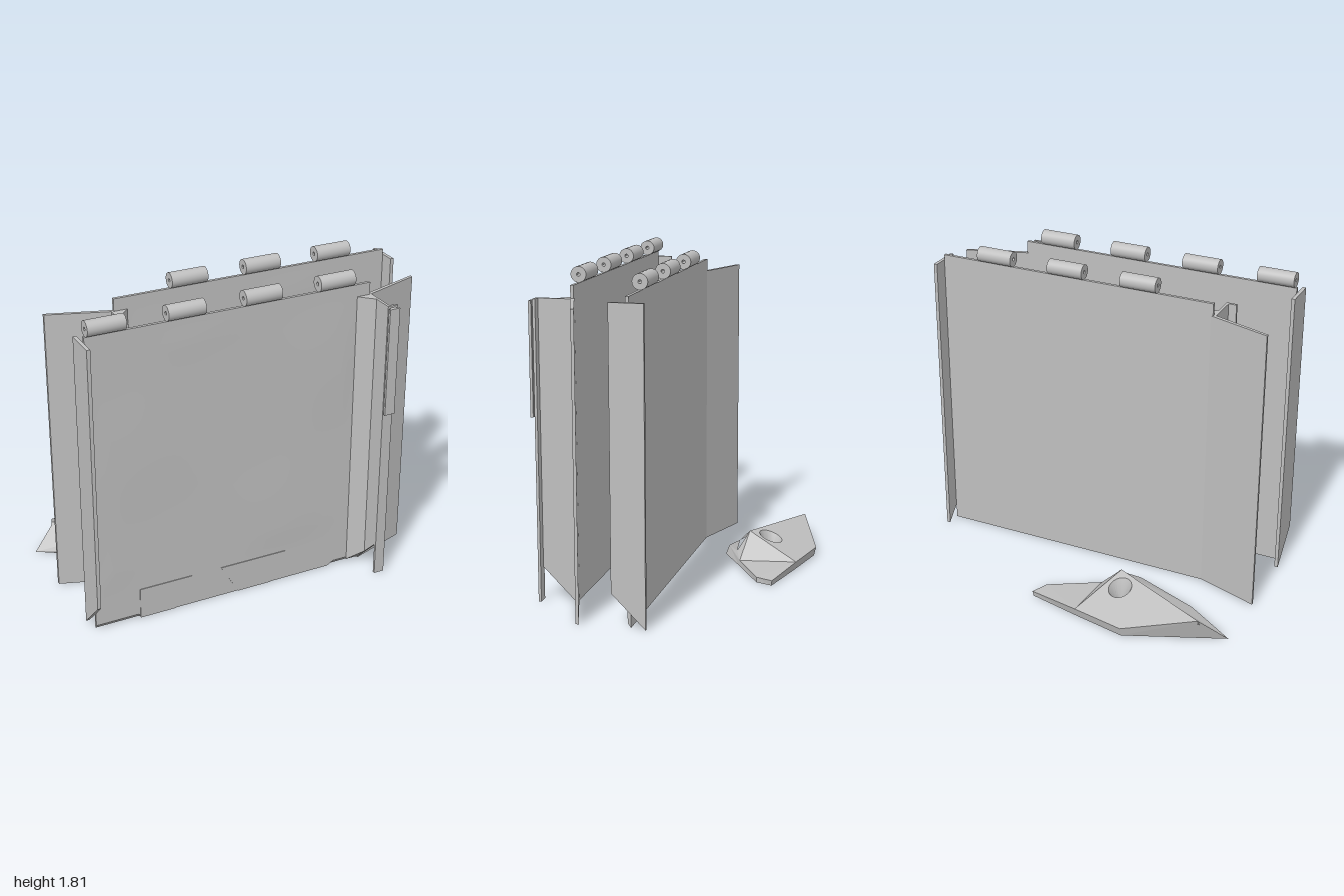
import * as THREE from 'three';
import { toCreasedNormals } from 'three/addons/utils/BufferGeometryUtils.js';

const grey = new THREE.MeshStandardMaterial({ color: 0xbfbfbf });
grey.name = 'plain grey';

function add(group, name, geometry) {
  const mesh = new THREE.Mesh(geometry, grey);
  mesh.name = name;
  group.add(mesh);
  return mesh;
}

const shapeOf = (pts) => new THREE.Shape(pts.map(([a, b]) => new THREE.Vector2(a, b)));

// Upright prism from an outline of [x, z] points
function prismY(pts, y0, y1) {
  const g = new THREE.ExtrudeGeometry(shapeOf(pts.map(([x, z]) => [x, -z])), { depth: y1 - y0, bevelEnabled: false });
  return g.rotateX(-Math.PI / 2).translate(0, y0, 0);
}

// Sideways plate from an outline of [z, y] points
function prismX(pts, x0, x1) {
  const g = new THREE.ExtrudeGeometry(shapeOf(pts), { depth: Math.abs(x1 - x0), bevelEnabled: false });
  return g.rotateY(-Math.PI / 2).translate(Math.max(x0, x1), 0, 0);
}

function box(x0, x1, y0, y1, z0, z1, nx = 1, ny = 1) {
  const g = new THREE.BoxGeometry(Math.abs(x1 - x0), y1 - y0, z1 - z0, nx, ny, 1);
  return g.translate((x0 + x1) / 2, (y0 + y1) / 2, (z0 + z1) / 2);
}

// Sheet with faint dents on the front and a trimmed lower edge at both ends
function sheetGeometry(s) {
  const g = box(-0.98 * s, 0.657 * s, 0, 1.72, -0.009, 0.009, 40, 30);
  const p = g.attributes.position;
  for (let i = 0; i < p.count; i++) {
    const x = p.getX(i) * s, y = p.getY(i);
    if (p.getZ(i) < 0) continue;
    if (y < 0.001 && (x < -0.72 || x > 0.47)) p.setY(i, 0.024);
    if (y > 0.25 && y < 1.62 && x > -0.9 && x < 0.55) {
      p.setZ(i, 0.009 + 0.004 * Math.max(0, Math.sin(x * 5 + y * 2) * Math.sin(y * 4 - x)));
    }
  }
  return toCreasedNormals(g, 0.5);
}

// Hinge barrel with a small bore, lying along x
function hingeGeometry() {
  const ring = new THREE.Shape().absarc(0, 0, 0.0425, 0, Math.PI * 2);
  ring.holes.push(new THREE.Path().absarc(0, 0, 0.01, 0, Math.PI * 2, true));
  const g = new THREE.ExtrudeGeometry(ring, { depth: 0.21, bevelEnabled: false, curveSegments: 16 });
  return toCreasedNormals(g.rotateY(Math.PI / 2).translate(-0.105, 1.763, 0), 0.6);
}

// One panel; s = -1 mirrors it across x
function createPanel(name, s, hinges) {
  const panel = new THREE.Group();
  panel.name = name;
  const mx = (pts) => pts.map(([x, z]) => [x * s, z]);

  add(panel, 'sheet', sheetGeometry(s));
  add(panel, 'endFlange', prismX([[-0.092, 1.69], [0.092, 1.69], [0.092, 0.185], [-0.092, 0]], -s, -0.98 * s));
  add(panel, 'wing', prismY(mx([[0.645, -0.009], [0.66, 0.009], [1, -0.107], [1, -0.125]]), 0, 1.65));

  // Bracket: web, foot and corner gusset
  add(panel, 'bracketWeb', prismX([[0, 1.65], [0.19, 1.65], [0.19, 0.19], [0, 0]], 0.655 * s, 0.67 * s));
  add(panel, 'bracketFoot', box(0.655 * s, 0.715 * s, 0, 1.65, 0.183, 0.198));
  const gusset = prismY(mx([[0.58, 0.009], [0.657, 0.009], [0.657, 0.085]]), 0, 1.65);
  const p = gusset.attributes.position;
  for (let i = 0; i < p.count; i++) if (p.getY(i) < 0.01) p.setY(i, p.getZ(i));
  add(panel, 'bracketGusset', gusset);

  // Thin tapered plates along the lower edge
  const plates = [
    [[-0.72, 0.18], [-0.41, 0.18], [-0.51, 0], [-0.72, 0]],
    [[-0.23, 0.18], [0.175, 0.18], [0.08, 0], [-0.125, 0]],
  ];
  for (const pts of plates) {
    const g = new THREE.ExtrudeGeometry(shapeOf(mx(pts)), { depth: 0.005, bevelEnabled: false });
    add(panel, 'lowerPlate', g.translate(0, 0, 0.008));
  }

  for (const x of hinges) add(panel, 'hinge', hingeGeometry()).position.x = x;
  return panel;
}

// Faceted wedge block with a countersunk hole
function createWedge() {
  const wedge = new THREE.Group();
  wedge.name = 'wedgeBlock';
  const v = {
    A: [-0.858, 0.134, -0.528], A1: [-0.858, 0.112, -0.528], A2: [-0.87, 0.1, -0.508],
    D: [-0.3, 0.172, -0.3], D1: [-0.285, 0.14, -0.285], D2: [-0.26, 0.124, -0.25],
    P: [-0.46, 0.051, -0.667], P0: [-0.46, 0, -0.655],
    C: [-0.155, 0.05, -0.603], C0: [-0.155, 0, -0.59],
    T: [0.15, 0.03, -0.523], T0: [0.145, 0, -0.52],
    S: [0.11, 0.03, -0.427], S0: [0.11, 0, -0.427],
    E: [-0.163, 0.03, -0.27], E0: [-0.163, 0, -0.265],
    G: [-0.25, 0.06, -0.235], N: [-0.361, 0, -0.143], N1: [-0.361, 0.055, -0.163],
    M: [-0.714, 0, -0.25], M1: [-0.714, 0.012, -0.253], L: [-1, 0, -0.43],
  };
  const centre = new THREE.Vector3(-0.38, 0.01, -0.4);
  const out = [];
  // Adds a triangle facing away from the centre
  const tri = (a, b, c) => {
    const [p, q, r] = [a, b, c].map((k) => new THREE.Vector3(...k));
    const n = q.clone().sub(p).cross(r.clone().sub(p));
    const mid = p.clone().add(q).add(r).divideScalar(3).sub(centre);
    out.push(...a, ...(n.dot(mid) < 0 ? [...c, ...b] : [...b, ...c]));
  };
  const faces = [
    'A A1 D1 D', 'A1 A2 D2 D1', 'D2 A2 L M1 N1', 'L M M1', 'M N N1 M1', 'D2 N1 G', 'N1 N E0 E G',
    'D C E G D2 D1', 'C T S E', 'E E0 S0 S', 'S S0 T0 T', 'T T0 C0 C', 'C C0 P0 P', 'A P P0 L A2 A1',
  ];
  for (const f of faces) {
    const k = f.split(' ').map((n) => v[n]);
    for (let i = 1; i < k.length - 1; i++) tri(k[0], k[i], k[i + 1]);
  }

  // Top and bottom faces, each with a round opening
  const hx = -0.345, hz = -0.416, n = 24;
  const topY = (x, z) => 0.134 - 0.081 * (x + 0.858) + 0.369 * (z + 0.528);
  const ring = (r, y) => Array.from({ length: n }, (_, i) => {
    const a = (i / n) * Math.PI * 2, x = hx + r * Math.cos(a), z = hz + r * Math.sin(a);
    return [x, y === null ? topY(x, z) : y, z];
  });
  const rings = [ring(0.066, null), ring(0.03, 0.06), ring(0.03, 0)];
  const pierced = (names, hole) => {
    const outer = names.split(' ').map((k) => v[k]);
    const flat = (pts) => pts.map((q) => new THREE.Vector2(q[0], q[2]));
    const all = [...outer, ...hole];
    for (const [a, b, c] of THREE.ShapeUtils.triangulateShape(flat(outer), [flat(hole)])) tri(all[a], all[b], all[c]);
  };
  pierced('A P C D', rings[0]);
  pierced('L P0 C0 T0 S0 E0 N M', rings[2]);

  const body = new THREE.BufferGeometry();
  body.setAttribute('position', new THREE.Float32BufferAttribute(out, 3));
  body.computeVertexNormals();
  add(wedge, 'block', body);

  // Inner walls of the hole
  const wall = [];
  for (let j = 0; j < 2; j++) {
    for (let i = 0; i < n; i++) {
      const k = (i + 1) % n;
      const a = rings[j][i], b = rings[j][k], c = rings[j + 1][i], d = rings[j + 1][k];
      wall.push(...a, ...c, ...b, ...b, ...c, ...d);
      // reversed so the faces look inward to the bore
      const t = wall.splice(-18);
      for (let q = 0; q < 18; q += 9) {
        const [p0, p1, p2] = [0, 3, 6].map((o) => t.slice(q + o, q + o + 3));
        const nx = (p1[1] - p0[1]) * (p2[2] - p0[2]) - (p1[2] - p0[2]) * (p2[1] - p0[1]);
        const nz = (p1[0] - p0[0]) * (p2[1] - p0[1]) - (p1[1] - p0[1]) * (p2[0] - p0[0]);
        const outward = nx * (p0[0] - hx) + nz * (p0[2] - hz) > 0;
        wall.push(...p0, ...(outward ? [...p2, ...p1] : [...p1, ...p2]));
      }
    }
  }
  const bore = new THREE.BufferGeometry();
  bore.setAttribute('position', new THREE.Float32BufferAttribute(wall, 3));
  add(wedge, 'countersunkHole', toCreasedNormals(bore, 0.5));
  return wedge;
}

export function createModel() {
  const model = new THREE.Group();
  model.name = 'hingedPanels';

  const front = createPanel('frontPanel', 1, [-0.867, -0.43, 0.006, 0.444]);
  front.position.z = 0.45;
  // Extra catch plate on the front bracket
  add(front, 'catchNeck', box(0.67, 0.7, 1.02, 1.64, 0.197, 0.207));
  add(front, 'catchPlate', box(0.655, 0.715, 1.02, 1.64, 0.206, 0.221));

  const back = createPanel('backPanel', -1, [-0.23, 0.206, 0.643]);
  back.position.z = 0.057;

  model.add(front, back, createWedge());
  return model;
}
